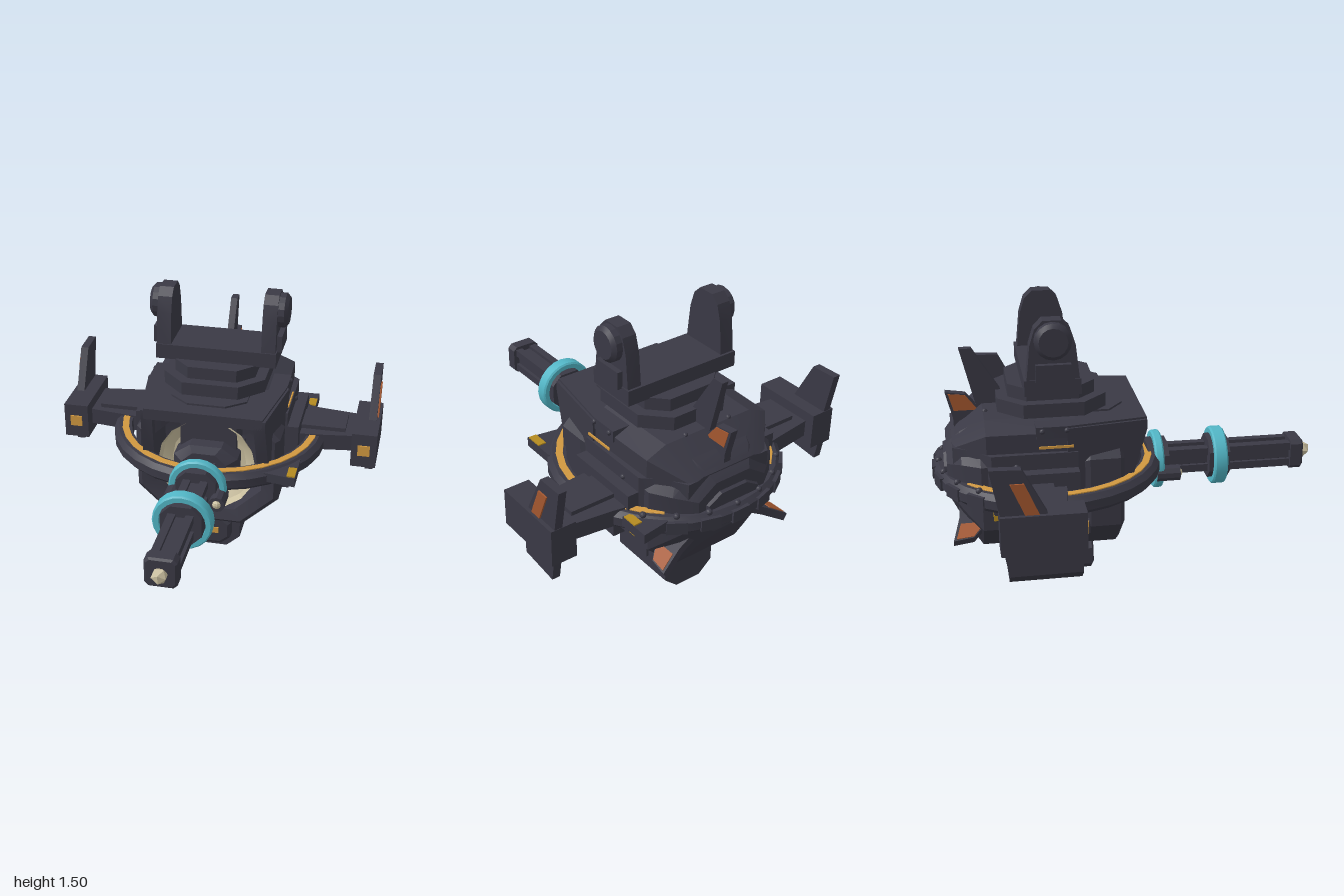
import * as THREE from 'three';
import { toCreasedNormals } from 'three/addons/utils/BufferGeometryUtils.js';

const mat = (name, color) => Object.assign(new THREE.MeshStandardMaterial({ color }), { name });

export function createModel() {
  const root = new THREE.Group();
  root.name = 'hoverTurret';
  const dark = mat('dark armour', 0x3a3945), gold = mat('gold trim', 0xd09840), orange = mat('rust orange', 0xa4572f),
    cyan = mat('cyan coil', 0x52b6c6), pale = mat('pale ceramic', 0xcabf9f), yellow = mat('dull yellow', 0xb48a20);
  const CY = 0.63, RZ = -0.415; // gun axis height, halo ring centre

  const add = (name, geo, m, parent = root) => {
    const mesh = new THREE.Mesh(toCreasedNormals(geo, 0.35), m);
    mesh.name = name;
    parent.add(mesh);
    return mesh;
  };
  // box from its limits
  const box = (x0, x1, y0, y1, z0, z1) =>
    new THREE.BoxGeometry(x1 - x0, y1 - y0, z1 - z0).translate((x0 + x1) / 2, (y0 + y1) / 2, (z0 + z1) / 2);
  const shape = pts => new THREE.Shape(pts.map(p => new THREE.Vector2(p[0], p[1])));
  const prism = (pts, depth) => new THREE.ExtrudeGeometry(shape(pts), { depth, bevelEnabled: false });
  // side profile of [z, y] points, extruded between two x values
  const sideSlab = (pts, x0, x1) => prism(pts, x1 - x0).rotateY(-Math.PI / 2).translate(x1, 0, 0);
  // plan of [x, z] points, extruded between two y values
  const planSlab = (pts, y0, y1) => prism(pts.map(p => [p[0], -p[1]]), y1 - y0).rotateX(-Math.PI / 2).translate(0, y0, 0);
  // symmetric plan from its right half
  const mirrorPlan = half => [...half, ...half.map(p => [-p[0], p[1]]).reverse()];
  // chamfered rectangle centred on the origin
  const octagon = (w, h, c = 0.5) => [[w, -h * c], [w, h * c], [w * c, h], [-w * c, h], [-w, h * c], [-w, -h * c], [-w * c, -h], [w * c, -h]];
  // octagonal loft through sections [z, halfWidth, halfHeight, centreY]
  const loft = (sections, c = 0.5) => {
    const pos = [], idx = [];
    for (const [z, w, h, cy] of sections) for (const [x, y] of octagon(w, h, c)) pos.push(x, y + cy, z);
    const last = (sections.length - 1) * 8;
    for (let s = 0; s < last; s += 8) for (let j = 0; j < 8; j++) {
      const a = s + j, b = s + (j + 1) % 8;
      idx.push(a, a + 8, b, b, a + 8, b + 8);
    }
    for (let j = 1; j < 7; j++) idx.push(0, j, j + 1, last, last + j + 1, last + j);
    const g = new THREE.BufferGeometry();
    g.setAttribute('position', new THREE.Float32BufferAttribute(pos, 3));
    g.setIndex(idx);
    g.computeVertexNormals();
    return g;
  };
  const lathe = (pts, n, start = 0, len = Math.PI * 2) =>
    new THREE.LatheGeometry(pts.map(p => new THREE.Vector2(p[0], p[1])), n, start, len);
  const ringSection = (r0, r1, y0, y1, c) => [[r0, y0], [r1 - c, y0], [r1, y0 + c], [r1, y1 - c], [r1 - c, y1], [r0, y1], [r0, y0]];
  const bolt = (x, y, z, r = 0.014, parent = root) => add('bolt', new THREE.IcosahedronGeometry(r, 1).translate(x, y, z), dark, parent);

  // Hull with a recessed front bore and a tapered tail
  add('hull', loft([[-0.32, 0.02, 0.02, CY], [-0.25, 0.27, 0.27, CY], [-0.09, 0.29, 0.28, CY], [-0.07, 0.36, 0.34, CY],
    [-0.09, 0.385, 0.36, CY], [-0.24, 0.385, 0.36, CY], [-0.27, 0.37, 0.335, CY], [-0.77, 0.37, 0.335, CY],
    [-0.86, 0.3, 0.24, 0.67], [-0.93, 0.2, 0.14, 0.69]]), dark);
  add('tailPlate', loft([[-0.9, 0.17, 0.11, 0.68], [-0.945, 0.15, 0.09, 0.68]]), dark);
  add('upperBack', planSlab(mirrorPlan([[0.39, -0.3], [0.39, -0.72], [0.3, -0.8], [0.24, -0.9]]), 0.7, 0.86), dark);
  add('shoulderRoof', loft([[-0.3, 0.37, 0.15, 0.85], [-0.74, 0.36, 0.15, 0.85], [-0.9, 0.22, 0.07, 0.8]], 0.7), dark);

  // Gun socket
  add('socketBowl', lathe([[0.265, 0.1], [0.25, 0.14], [0.2, 0.17], [0.12, 0.18]].reverse().map(([r, y]) => [r, -y]), 16)
    .rotateX(Math.PI / 2), pale).position.set(0, CY, 0.04);
  root.children.at(-1).material.side = THREE.DoubleSide;
  add('mantlet', loft([[0.02, 0.12, 0.11, CY], [-0.03, 0.17, 0.12, CY + 0.01], [-0.3, 0.17, 0.12, CY + 0.01]]), dark);
  add('mantletShield', box(-0.15, 0.15, 0.66, 0.87, -0.28, -0.1), dark);

  // Gun barrel with rails, collars and coils
  add('barrel', loft([[0.92, 0.048, 0.048, CY], [-0.2, 0.048, 0.048, CY]]), dark);
  for (const x of [-0.045, 0.045]) for (const y of [-0.045, 0.045])
    add('barrelRail', box(x - 0.02, x + 0.02, CY + y - 0.02, CY + y + 0.02, -0.1, 0.89), dark);
  add('muzzle', loft([[0.94, 0.07, 0.07, CY], [0.93, 0.08, 0.08, CY], [0.87, 0.08, 0.08, CY]], 0.75), dark);
  add('muzzleTip', new THREE.IcosahedronGeometry(0.042, 0).translate(0, CY, 0.957), pale);
  for (const [z, w] of [[0.48, 0.035], [0.155, 0.023]]) {
    add('collar', loft([[z + 0.055, 0.105, 0.105, CY], [z - 0.055, 0.105, 0.105, CY]]), dark);
    add('coil', lathe(ringSection(0.12, 0.153, -w, w, 0.008), 20).rotateX(Math.PI / 2).translate(0, CY, z), cyan);
  }

  // Halo ring around the hull
  add('haloRing', lathe(ringSection(0.49, 0.585, 0.605, 0.7, 0.025), 28).translate(0, 0, RZ), dark);
  const arc = 2.48;
  add('haloTrim', lathe(ringSection(0.505, 0.54, 0.699, 0.706, 0.001), 24, -arc, arc * 2).translate(0, 0, RZ), gold);
  for (let i = -3; i <= 3; i++) {
    const a = Math.PI + i * 0.28;
    bolt(0.555 * Math.sin(a), 0.7, RZ + 0.555 * Math.cos(a), 0.017);
    add('haloClamp', box(-0.05, 0.05, 0.62, 0.685, 0.56, 0.59).rotateY(a).translate(0, 0, RZ), dark);
  }
  // Vanes on the left of the halo
  for (const [z0, z1, tilt] of [[-0.9, -0.73, 0], [-0.1, 0.08, -0.02]]) {
    add('haloVane', planSlab([[0.34, z0 + 0.02], [0.49, z0 + tilt], [0.49, z1], [0.3, z1 - 0.03]], 0.64, 0.69), dark);
    add('vaneStripe', box(0.445, 0.488, 0.689, 0.697, z0 + 0.08, z1 - 0.01), yellow);
  }

  // Hood roof
  add('hoodRoof', planSlab(mirrorPlan([[0.31, 0.05], [0.375, -0.35], [0.375, -0.5]]), 0.93, 0.99), dark);
  add('roofPanel', planSlab(mirrorPlan([[0.1, -0.04], [0.2, -0.12], [0.2, -0.4]]), 0.985, 1.0), dark);

  // Turntable and yoke
  const slabOct = (w, d, y0, y1, c) => planSlab(octagon(w, d, c).map(([x, z]) => [x, z - 0.4]), y0, y1);
  add('turntableBase', slabOct(0.27, 0.27, 1.0, 1.07, 0.55), dark);
  add('turntableTop', slabOct(0.215, 0.215, 1.07, 1.135, 0.6), dark);
  add('yokeBase', box(-0.32, 0.32, 1.13, 1.21, -0.545, -0.27), dark);

  // Dorsal fin
  add('dorsalFin', sideSlab([[-0.58, 0.95], [-0.62, 1.03], [-0.78, 1.29], [-0.84, 1.29], [-0.77, 1.0], [-0.85, 0.9]], -0.018, 0.018), dark);
  // Three tail fins, evenly spaced about the gun axis
  for (let i = 0; i < 3; i++) {
    const fin = new THREE.Group();
    fin.name = 'tailFin';
    fin.position.y = CY;
    fin.rotation.z = i * Math.PI * 2 / 3;
    root.add(fin);
    add('finBlade', sideSlab([[-0.74, 0.22], [-0.75, 0.34], [-0.82, 0.425], [-0.92, 0.44], [-0.885, 0.3], [-0.88, 0.15]], -0.02, 0.02), dark, fin);
    add('finPanel', sideSlab([[-0.76, 0.34], [-0.82, 0.42], [-0.905, 0.43], [-0.88, 0.34]], -0.024, 0.024), orange, fin);
  }

  // Mirrored parts
  for (const s of [1, -1]) {
    const side = new THREE.Group();
    side.name = s > 0 ? 'leftSide' : 'rightSide';
    root.add(side);
    const put = (name, geo, m = dark) => {
      if (s < 0) { // mirror in x and turn the faces back
        geo = geo.index ? geo.toNonIndexed() : geo;
        geo.scale(-1, 1, 1);
        const p = geo.attributes.position, a = new THREE.Vector3(), b = new THREE.Vector3();
        for (let i = 0; i < p.count; i += 3) {
          a.fromBufferAttribute(p, i + 1); b.fromBufferAttribute(p, i + 2);
          p.setXYZ(i + 1, b.x, b.y, b.z); p.setXYZ(i + 2, a.x, a.y, a.z);
        }
      }
      return add(name, geo, m, side);
    };
    // Hood cheek, narrowing towards the front
    const cheek = sideSlab([[0.05, 0.98], [0.05, 0.93], [-0.03, 0.66], [-0.35, 0.66], [-0.35, 0.98]], 0.325, 0.385);
    const p = cheek.attributes.position;
    for (let i = 0; i < p.count; i++) p.setX(i, p.getX(i) - (p.getZ(i) + 0.35) * 0.15);
    put('hoodCheek', cheek);
    put('sideStripe', box(0.385, 0.392, 0.885, 0.897, -0.49, -0.32), gold);
    put('sideBlock', sideSlab([[-0.3, 0.78], [-0.72, 0.78], [-0.72, 0.58], [-0.3, 0.52]], 0.35, 0.45));
    put('lowerBlock', box(0.35, 0.415, 0.43, 0.495, -0.56, -0.25));
    for (const z of [-0.49, -0.7]) put('lowerStripe', box(0.36, 0.41, 0.53, 0.56, z - 0.02, z + 0.02), yellow);
    for (const [x, y, z] of [[0.375, 0.97, -0.35], [0.375, 0.97, -0.47], [0.13, 1.0, -0.6], [0.13, 1.0, -0.73], [0.39, 0.8, -0.6]])
      bolt(s * x, y, z, 0.014, side);

    // Wing arm and tip pod
    put('wingArm', planSlab([[0.36, -0.36], [0.52, -0.37], [0.75, -0.4], [0.75, -0.66], [0.52, -0.69], [0.36, -0.72]], 0.62, 0.71));
    put('wingPlate', planSlab([[0.45, -0.43], [0.69, -0.43], [0.69, -0.61], [0.45, -0.61]], 0.7, 0.732));
    put('tipPod', planSlab([[0.735, -0.32], [0.87, -0.32], [0.87, -0.715], [0.735, -0.715]], 0.57, 0.765));
    put('tipLight', box(0.77, 0.835, 0.64, 0.7, -0.321, -0.312), gold);
    put('tipFinUpper', sideSlab([[-0.49, 0.75], [-0.61, 0.985], [-0.755, 0.99], [-0.71, 0.75]], 0.808, 0.85));
    put('tipFinPanel', sideSlab([[-0.535, 0.766], [-0.6, 0.92], [-0.665, 0.92], [-0.6, 0.766]], 0.849, 0.858), orange);
    put('tipFinLower', sideSlab([[-0.46, 0.58], [-0.46, 0.48], [-0.68, 0.46], [-0.7, 0.58]], 0.808, 0.85));

    // Yoke arm and pivot
    put('yokeArm', sideSlab([[-0.27, 1.14], [-0.295, 1.38], [-0.32, 1.46], [-0.36, 1.5], [-0.45, 1.5], [-0.49, 1.46], [-0.515, 1.38], [-0.54, 1.14]], 0.24, 0.315));
    put('yokePivot', lathe([[0, 0], [0.09, 0], [0.09, 0.032], [0.07, 0.05], [0, 0.05]], 16).rotateZ(-Math.PI / 2).translate(0.315, 1.405, -0.405));
    put('yokePlate', box(0.31, 0.342, 1.2, 1.29, -0.49, -0.32));

    // Sensor beside the barrel
    put('sensor', new THREE.CylinderGeometry(0.042, 0.042, 0.12, 10).rotateX(Math.PI / 2).translate(0.12, 0.595, 0.2));
    put('sensorLens', new THREE.SphereGeometry(0.025, 10, 6).translate(0.12, 0.595, 0.252), pale);
  }

  // Belly pod
  add('bellyNeck', box(-0.12, 0.12, 0.2, 0.33, -0.6, -0.32), dark);
  add('bellyPod', loft([[-0.25, 0.15, 0.135, 0.137], [-0.64, 0.15, 0.135, 0.137]]), dark);
  add('bellyNose', loft([[-0.19, 0.09, 0.075, 0.137], [-0.2, 0.105, 0.09, 0.137], [-0.26, 0.105, 0.09, 0.137]]), dark);
  add('bellyLight', box(-0.04, 0.04, 0.12, 0.155, -0.19, -0.183), gold);
  add('bellyStrut', box(0.1, 0.165, 0.14, 0.32, -0.5, -0.455), dark);
  return root;
}
